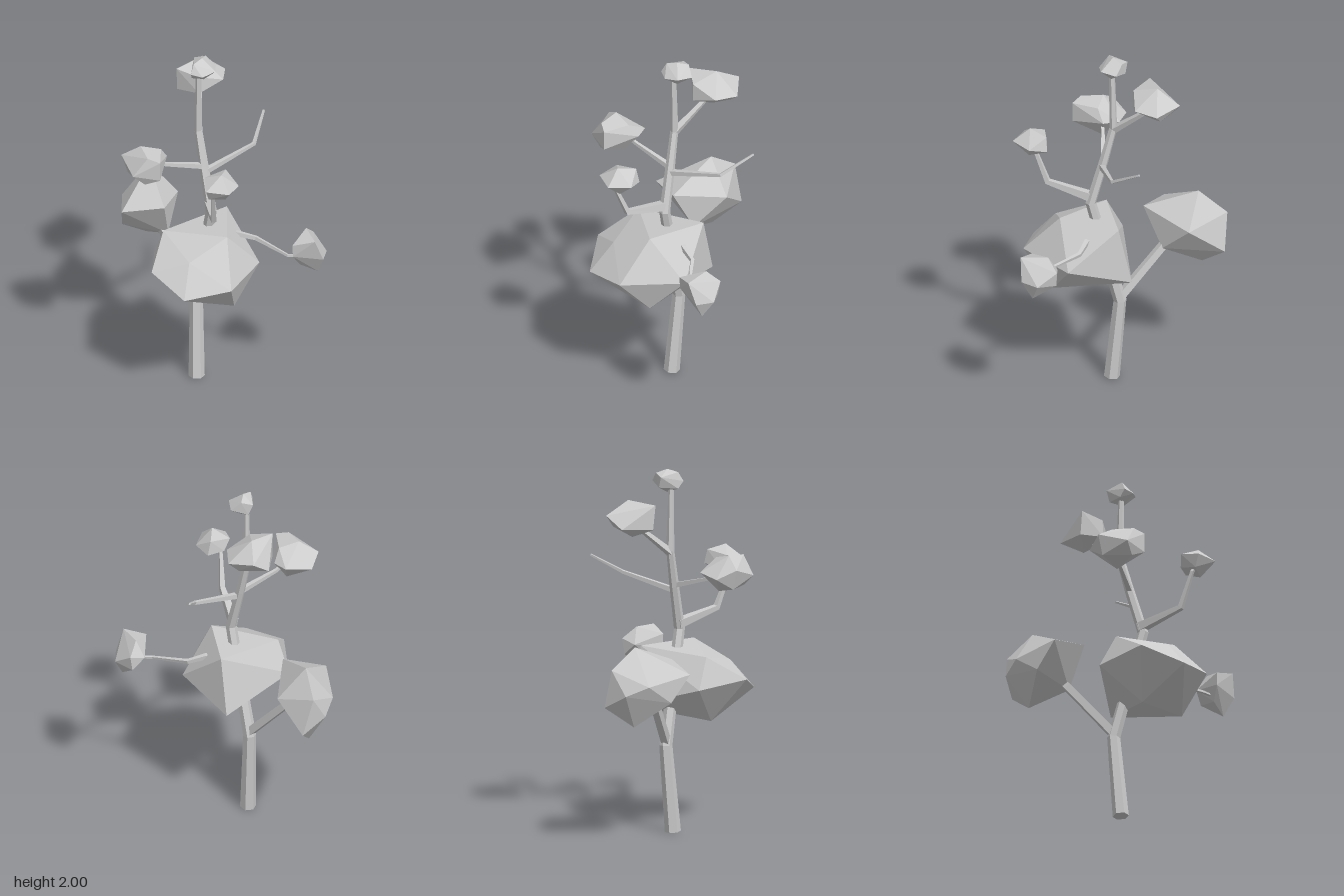
import * as THREE from 'three';
import { ConvexGeometry } from 'three/addons/geometries/ConvexGeometry.js';

const material = new THREE.MeshStandardMaterial({ color: 0xcccccc, flatShading: true });

// Tapered limb: polygon rings along bent centre line, each node [x, y, z, radius]
function limb(name, sides, nodes) {
  const pts = nodes.map(n => new THREE.Vector3(n[0], n[1], n[2]));
  const pos = [], idx = [];
  const last = nodes.length - 1;
  const side = new THREE.Vector3(1, 0, 0);
  for (let i = 0; i <= last; i++) {
    const dir = new THREE.Vector3();
    if (i > 0) dir.add(pts[i].clone().sub(pts[i - 1]).normalize());
    if (i < last) dir.add(pts[i + 1].clone().sub(pts[i]).normalize());
    dir.normalize();
    if (i === 0 && Math.abs(dir.x) > 0.7) side.set(0, 0, 1);
    side.addScaledVector(dir, -side.dot(dir)).normalize();
    const up = dir.clone().cross(side);
    for (let j = 0; j < sides; j++) {
      const a = (j + 0.5) / sides * Math.PI * 2;
      const p = pts[i].clone()
        .addScaledVector(side, Math.cos(a) * nodes[i][3])
        .addScaledVector(up, Math.sin(a) * nodes[i][3]);
      pos.push(p.x, p.y, p.z);
    }
  }
  for (let i = 0; i < last; i++) {
    for (let j = 0; j < sides; j++) {
      const a = i * sides + j, b = i * sides + (j + 1) % sides;
      idx.push(a, b, b + sides, a, b + sides, a + sides);
    }
  }
  // End caps
  const top = last * sides;
  for (let j = 1; j < sides - 1; j++) idx.push(0, j + 1, j, top, top + j, top + j + 1);
  const geo = new THREE.BufferGeometry();
  geo.setAttribute('position', new THREE.Float32BufferAttribute(pos, 3));
  geo.setIndex(idx);
  const flat = geo.toNonIndexed();
  flat.computeVertexNormals();
  const mesh = new THREE.Mesh(flat, material);
  mesh.name = name;
  return mesh;
}

// Faceted leaf clump: convex hull of a few corners
function clump(name, corners) {
  const mesh = new THREE.Mesh(new ConvexGeometry(corners.map(c => new THREE.Vector3(...c))), material);
  mesh.name = name;
  return mesh;
}

export function createModel() {
  const tree = new THREE.Group();
  tree.name = 'tree';

  // Trunk and branches
  tree.add(
    limb('trunk', 6, [
      [-0.033, 0, 0.02, 0.044], [-0.01, 0.48, -0.02, 0.036], [-0.015, 1.1, 0.14, 0.03],
      [-0.018, 1.35, 0.068, 0.026], [-0.02, 1.55, 0.015, 0.022], [-0.022, 1.92, 0.022, 0.015],
    ]),
    limb('backBranch', 4, [[-0.012, 0.5, -0.02, 0.03], [-0.06, 0.77, -0.27, 0.027], [-0.07, 0.85, -0.35, 0.024]]),
    limb('frontBranch', 4, [[-0.015, 1.13, 0.12, 0.034], [-0.135, 1.19, 0.355, 0.02], [-0.18, 1.38, 0.42, 0.012], [-0.17, 1.43, 0.45, 0.01]]),
    limb('leftBranch', 4, [[-0.018, 1.35, 0.07, 0.02], [-0.24, 1.41, 0.03, 0.012], [-0.33, 1.45, 0.02, 0.01]]),
    limb('bareBranch', 4, [[-0.015, 1.32, 0.08, 0.02], [0.295, 1.395, 0.082, 0.012], [0.435, 1.5, -0.04, 0.007]]),
    limb('upperBranch', 4, [[-0.02, 1.54, 0.015, 0.024], [0.08, 1.68, -0.13, 0.015], [0.11, 1.73, -0.18, 0.012]]),
    limb('lowerFrontBranch', 4, [
      [-0.01, 0.96, 0.1, 0.024], [0.125, 0.935, 0.19, 0.018], [0.205, 0.91, 0.245, 0.014],
      [0.285, 0.875, 0.445, 0.009], [0.36, 0.88, 0.5, 0.008],
    ]),
  );

  // Leaf clumps
  tree.add(
    clump('largeClump', [
      [-0.02, 1.02, 0.31], [0.16, 1.01, 0.02], [0.19, 0.79, 0.305], [-0.11, 0.8, 0.495],
      [-0.345, 0.76, 0.39], [-0.41, 0.845, 0.16], [-0.24, 0.81, -0.08], [0.18, 0.69, -0.05],
      [-0.2, 0.6, 0.15], [0, 0.6, 0.35], [-0.25, 0.92, 0.29], [-0.24, 0.98, 0.01],
    ]),
    clump('backClump', [
      [-0.035, 1.1, -0.46], [-0.12, 0.99, -0.17], [-0.3, 0.945, -0.32], [-0.16, 0.9, -0.54],
      [-0.05, 0.85, -0.605], [0.035, 0.99, -0.605], [0.09, 0.775, -0.58], [0.1, 0.92, -0.38],
      [-0.04, 0.66, -0.48], [-0.04, 0.76, -0.26], [-0.235, 0.8, -0.42],
    ]),
    clump('upperClump', [
      [0.13, 1.855, -0.2], [-0.03, 1.835, -0.19], [0.045, 1.81, -0.085], [0.19, 1.76, -0.065],
      [0.27, 1.75, -0.17], [0.21, 1.78, -0.31], [0.11, 1.71, -0.32], [-0.02, 1.7, -0.2],
      [0.045, 1.71, -0.08], [0.11, 1.65, -0.19], [0.22, 1.7, -0.2],
    ]),
    clump('leftClump', [
      [-0.38, 1.555, 0], [-0.41, 1.545, 0.12], [-0.365, 1.53, 0.175], [-0.365, 1.42, 0.175],
      [-0.485, 1.44, 0.09], [-0.46, 1.49, -0.07], [-0.365, 1.44, -0.125], [-0.235, 1.46, -0.06],
      [-0.23, 1.46, 0.03], [-0.28, 1.53, 0.05], [-0.31, 1.35, 0.02], [-0.42, 1.38, 0.11],
      [-0.43, 1.38, -0.05],
    ]),
    clump('frontClump', [
      [-0.145, 1.525, 0.45], [-0.07, 1.5, 0.375], [-0.195, 1.48, 0.36], [-0.05, 1.42, 0.375],
      [-0.05, 1.44, 0.475], [-0.155, 1.45, 0.545], [-0.25, 1.455, 0.46], [-0.22, 1.39, 0.44],
      [-0.125, 1.37, 0.46], [-0.15, 1.42, 0.355],
    ]),
    clump('topClump', [
      [0, 2, 0.02], [-0.06, 1.985, 0.03], [0.05, 1.98, -0.02], [0, 1.965, -0.06],
      [0.09, 1.93, 0.02], [0.04, 1.94, 0.095], [-0.085, 1.935, 0.045], [-0.04, 1.925, 0.09],
      [0.005, 1.87, 0.03], [-0.065, 1.895, 0.02], [0.02, 1.905, -0.045],
    ]),
    clump('lowerFrontClump', [
      [0.395, 1.02, 0.455], [0.265, 0.98, 0.52], [0.36, 1.015, 0.6], [0.465, 0.955, 0.42],
      [0.38, 0.93, 0.4], [0.48, 0.885, 0.53], [0.41, 0.89, 0.605], [0.27, 0.91, 0.52],
      [0.325, 0.835, 0.5], [0.415, 0.785, 0.545], [0.45, 0.87, 0.42],
    ]),
  );
  return tree;
}
